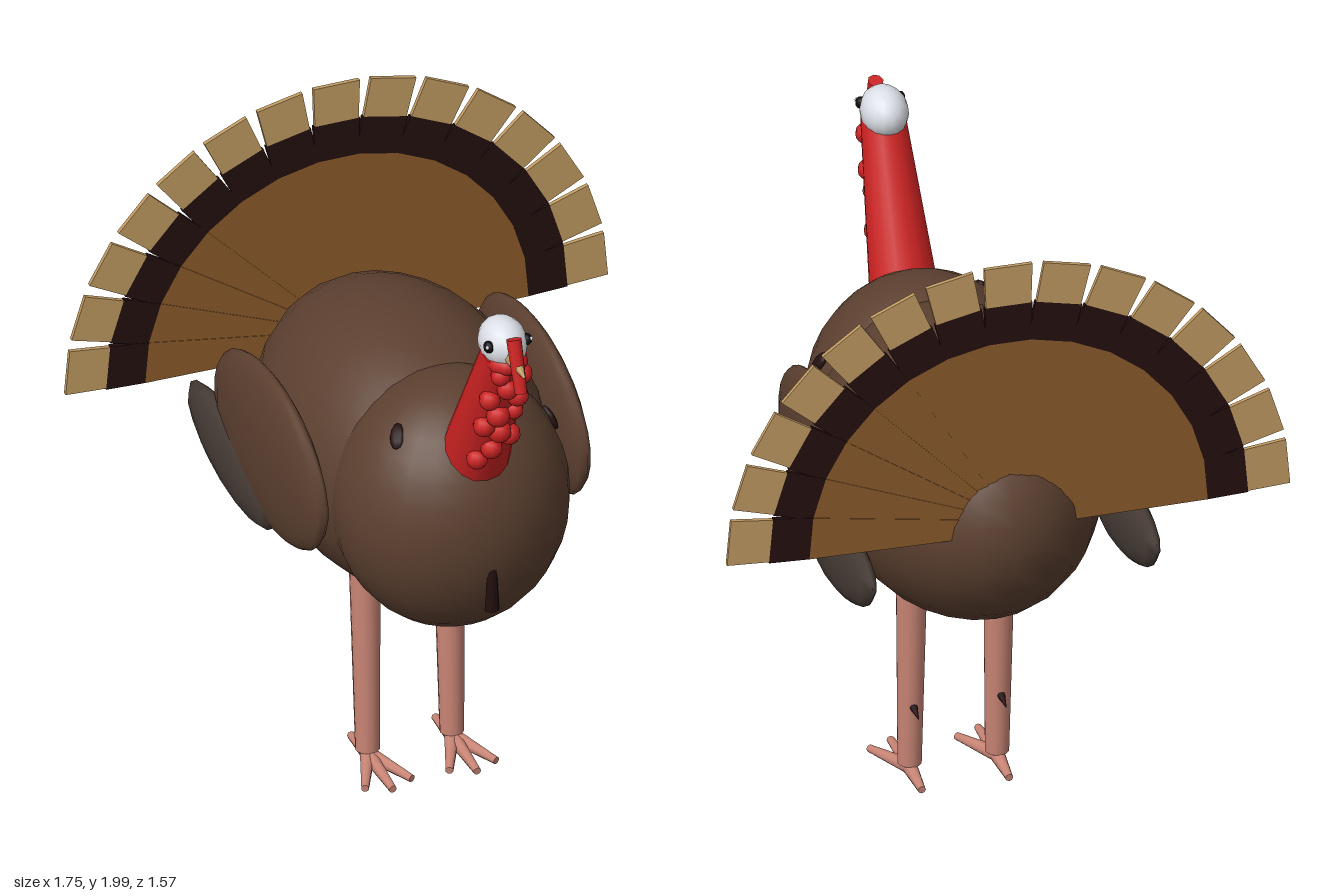
import * as THREE from 'three';

const material = (name, color) => {
  const m = new THREE.MeshStandardMaterial({ color });
  m.name = name;
  return m;
};

export function createModel() {
  const model = new THREE.Group();
  model.name = 'turkey';

  const plumage = material('plumage brown', 0x5c4030);
  const wingGrey = material('wing feather grey', 0x463b35);
  const tailBrown = material('tail brown', 0x8b5a2b);
  const bandDark = material('dark band', 0x240f0f);
  const tan = material('tan tip', 0xc19a62);
  const red = material('neck red', 0xcc2222);
  const white = material('head white', 0xdde0e8);
  const black = material('eye black', 0x0a0a0a);
  const pink = material('leg pink', 0xc98575);

  const add = (name, geometry, mat, parent = model) => {
    const mesh = new THREE.Mesh(geometry, mat);
    mesh.name = name;
    parent.add(mesh);
    return mesh;
  };

  const ellipsoid = (name, mat, pos, radii, seg = 20, parent = model) => {
    const mesh = add(name, new THREE.SphereGeometry(1, seg, Math.round(seg * 0.75)), mat, parent);
    mesh.position.set(...pos);
    mesh.scale.set(...radii);
    return mesh;
  };

  // Tapered round bar running from a (radius ra) to b (radius rb)
  const bar = (name, mat, a, b, ra, rb, sides = 10, parent = model) => {
    const p = new THREE.Vector3(...a), q = new THREE.Vector3(...b);
    const dir = q.clone().sub(p);
    const mesh = add(name, new THREE.CylinderGeometry(rb, ra, dir.length(), sides), mat, parent);
    mesh.position.copy(p).add(q).multiplyScalar(0.5);
    mesh.quaternion.setFromUnitVectors(new THREE.Vector3(0, 1, 0), dir.normalize());
    return mesh;
  };

  // Body and breast
  ellipsoid('body', plumage, [0, 1.08, -0.17], [0.41, 0.44, 0.61], 24);
  const breastCentre = new THREE.Vector3(0, 1.08, 0.2);
  ellipsoid('breast', plumage, breastCentre.toArray(), [0.36, 0.41, 0.345], 24);

  // Stray dark feathers lying flat on the breast
  for (const p of [[-0.21, 1.385, 0.3], [0.325, 1.265, 0.19], [0.27, 0.845, 0.3]]) {
    const spot = ellipsoid('darkFeather', bandDark, p, [0.024, 0.042, 0.014], 8);
    const d = new THREE.Vector3(...p).sub(breastCentre);
    const normal = new THREE.Vector3(d.x / 0.13, d.y / 0.168, d.z / 0.119).normalize();
    spot.quaternion.setFromUnitVectors(new THREE.Vector3(0, 0, 1), normal);
  }

  // Beard hanging from the breast
  const beard = bar('beard', bandDark, [0, 0.865, 0.53], [0, 1.01, 0.53], 0.024, 0.014, 8);
  beard.scale.z = 0.7;

  // Neck and the lumps down its front
  bar('neck', red, [0, 1.2, 0.335], [0, 1.82, 0.625], 0.115, 0.068, 16);
  const lumps = [
    [0.04, 1.75, 0.034], [-0.03, 1.76, 0.03], [0, 1.70, 0.034], [-0.045, 1.655, 0.033],
    [0.045, 1.65, 0.034], [-0.012, 1.585, 0.037], [0.04, 1.59, 0.03], [-0.045, 1.54, 0.034],
    [0.005, 1.51, 0.036], [0.045, 1.48, 0.034], [-0.01, 1.44, 0.034], [-0.045, 1.395, 0.033],
  ];
  for (const [x, y, r] of lumps) {
    const axisZ = 0.335 + (y - 1.2) * 0.468;
    const reach = 0.126 - (y - 1.2) * 0.076;
    ellipsoid('caruncle', red, [x, y, axisZ + Math.sqrt(reach * reach - x * x) - 0.006], [r, r, r], 10);
  }

  // Head
  const head = new THREE.Group();
  head.name = 'head';
  model.add(head);
  ellipsoid('skull', white, [0, 1.845, 0.612], [0.072, 0.077, 0.092], 16, head);
  ellipsoid('throat', red, [0, 1.795, 0.645], [0.064, 0.038, 0.062], 12, head);
  bar('beak', tan, [0, 1.835, 0.68], [0, 1.812, 0.785], 0.03, 0.003, 8, head);
  bar('snood', red, [0, 1.9, 0.7], [0, 1.745, 0.757], 0.024, 0.02, 8, head);
  for (const s of [-1, 1]) {
    ellipsoid('eye', black, [s * 0.06, 1.86, 0.652], [0.017, 0.019, 0.019], 10, head);
    ellipsoid('eyeGlint', white, [s * 0.07, 1.866, 0.664], [0.006, 0.006, 0.006], 6, head);
  }

  // Wings and legs, mirrored
  for (const s of [-1, 1]) {
    const wing = new THREE.Group();
    wing.name = s > 0 ? 'leftWing' : 'rightWing';
    model.add(wing);
    ellipsoid('wingShoulder', plumage, [s * 0.42, 1.122, -0.17], [0.057, 0.257, 0.425], 20, wing);
    const flight = ellipsoid('flightFeathers', wingGrey, [s * 0.438, 0.957, -0.435], [0.048, 0.118, 0.335], 12, wing);
    flight.rotation.x = 0.16;

    const leg = new THREE.Group();
    leg.name = s > 0 ? 'leftLeg' : 'rightLeg';
    leg.position.x = s * 0.135;
    model.add(leg);
    ellipsoid('thigh', plumage, [0, 0.71, -0.14], [0.075, 0.05, 0.075], 12, leg);
    bar('shank', pink, [0, 0.05, -0.115], [0, 0.7, -0.137], 0.037, 0.048, 12, leg);
    bar('spur', bandDark, [0, 0.26, -0.14], [0, 0.242, -0.21], 0.016, 0.002, 8, leg);
    for (const tip of [[-0.075, 0.02, 0.05], [0, 0.02, 0.085], [0.075, 0.02, 0.05], [0, 0.022, -0.245]]) {
      bar('toe', pink, [0, 0.034, -0.115], tip, 0.024, 0.012, 8, leg);
    }
  }

  // Tail fan: each feather is brown, dark and tan sections along its length
  const section = (r0, r1, w0, w1) => {
    const shape = new THREE.Shape([
      new THREE.Vector2(-w0 / 2, r0), new THREE.Vector2(w0 / 2, r0),
      new THREE.Vector2(w1 / 2, r1), new THREE.Vector2(-w1 / 2, r1),
    ]);
    return new THREE.ExtrudeGeometry(shape, { depth: 0.014, bevelEnabled: false });
  };
  const sections = [
    ['featherVane', section(-0.02, 0.615, 0.04, 0.137), tailBrown],
    ['featherBand', section(0.615, 0.74, 0.137, 0.148), bandDark],
    ['featherTip', section(0.74, 0.87, 0.14, 0.148), tan],
  ];
  const tail = new THREE.Group();
  tail.name = 'tailFan';
  tail.position.set(0, 1.13, -0.697);
  model.add(tail);
  for (let i = -7; i <= 7; i++) {
    const feather = new THREE.Group();
    feather.name = 'tailFeather';
    feather.rotation.z = -i * THREE.MathUtils.degToRad(12.14);
    feather.position.z = -i * 0.0018;
    for (const [name, geometry, mat] of sections) add(name, geometry, mat, feather);
    tail.add(feather);
  }

  return model;
}
